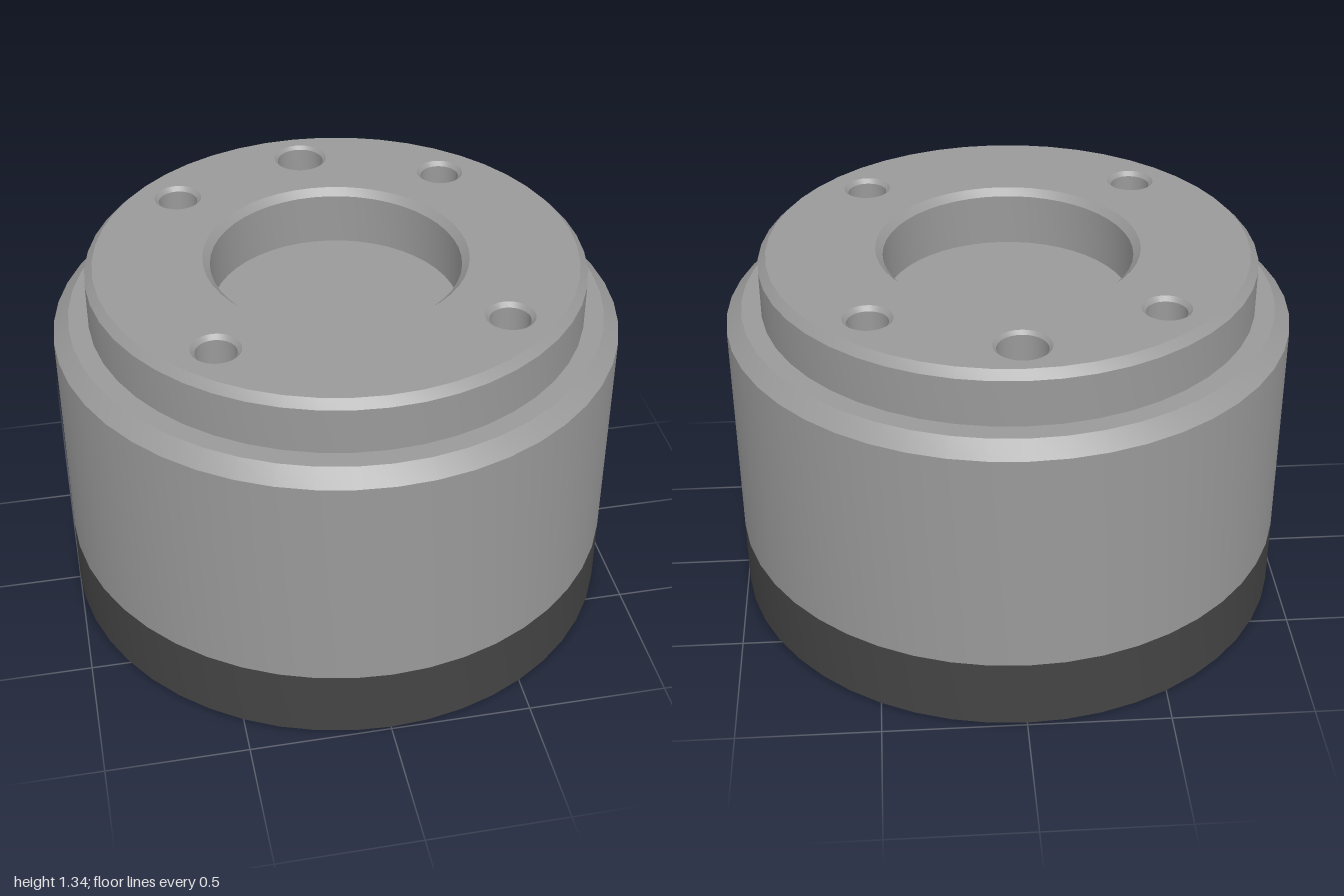
import * as THREE from 'three';
import { toCreasedNormals } from 'three/addons/utils/BufferGeometryUtils.js';

const SEGMENTS = 48;
const TOP = 1.335;

export function createModel() {
  const model = new THREE.Group();
  const bodyMaterial = new THREE.MeshStandardMaterial({ color: 0x999999 });
  const baseMaterial = new THREE.MeshStandardMaterial({ color: 0x444444 });

  function add(name, geometry, material, x = 0, y = 0, z = 0) {
    const mesh = new THREE.Mesh(geometry, material);
    mesh.name = name;
    mesh.position.set(x, y, z);
    model.add(mesh);
  }

  // Turned surface with sharp profile corners and smooth sides
  function turned(profile) {
    const points = profile.map(([r, y]) => new THREE.Vector2(r, y));
    return toCreasedNormals(new THREE.LatheGeometry(points, SEGMENTS), 0.5);
  }

  // Dark base with a slightly recessed foot
  add('base', turned([[0, 0], [0.97, 0], [0.97, 0.01], [1, 0.01], [1, 0.265]]), baseMaterial);

  // Housing with chamfered shoulder and raised flange
  add('housing', turned([
    [1, 0.265], [1, 1.09], [0.945, 1.14], [0.875, 1.14], [0.875, 1.307], [0.847, TOP],
  ]), bodyMaterial);

  // Openings in the flange: profiles run from the rim down to the floor centre
  const boreProfile = [[0.465, 0], [0.44, -0.025], [0.44, -0.215], [0, -0.215]];
  const screwProfile = [[0.085, 0], [0.07, -0.015], [0.07, -0.2], [0, -0.24]];
  const pinProfile = [[0.097, 0], [0.085, -0.012], [0.085, -0.15], [0, -0.15]];
  const openings = [
    { name: 'centreBore', x: 0, z: 0, profile: boreProfile },
    { name: 'locatingPinHole', x: 0, z: -0.7, profile: pinProfile },
  ];
  for (const x of [-0.492, 0.492]) {
    for (const z of [-0.492, 0.492]) {
      openings.push({ name: 'screwHole', x, z, profile: screwProfile });
    }
  }

  // Flange face pierced by the openings
  const face = new THREE.Shape().absarc(0, 0, 0.847, 0, Math.PI * 2);
  for (const { name, x, z, profile } of openings) {
    face.holes.push(new THREE.Path().absarc(x, -z, profile[0][0], 0, Math.PI * 2, true));
    add(name, turned(profile), bodyMaterial, x, TOP, z);
  }
  const faceGeometry = new THREE.ShapeGeometry(face, SEGMENTS / 2).rotateX(-Math.PI / 2);
  add('flangeFace', faceGeometry, bodyMaterial, 0, TOP, 0);

  return model;
}
